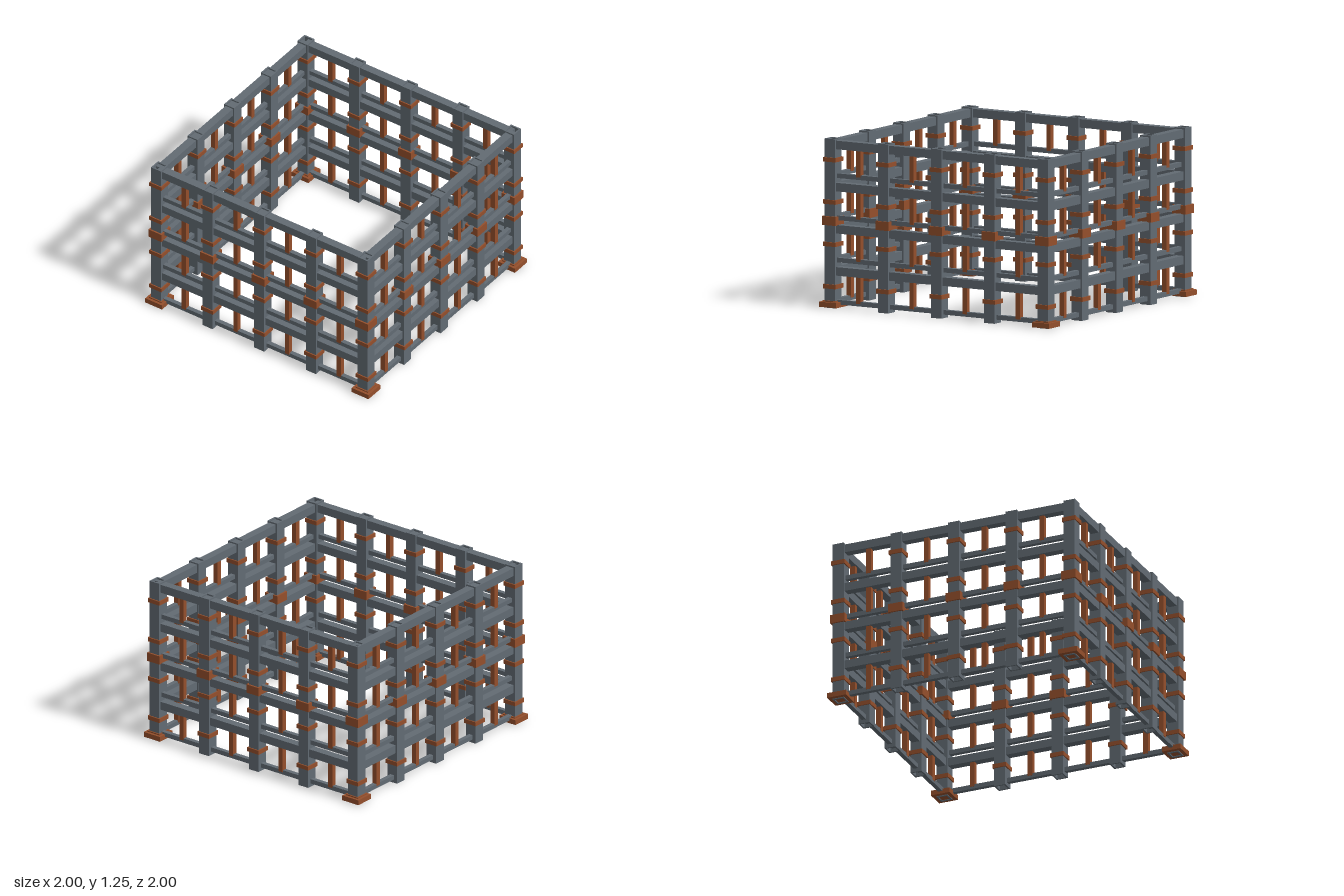
import * as THREE from 'three';

export function createModel() {
  const model = new THREE.Group();
  const steel = new THREE.MeshStandardMaterial({ color: 0x626b73 });
  steel.name = 'slate steel';
  const rust = new THREE.MeshStandardMaterial({ color: 0x944f2c });
  rust.name = 'rust orange';

  const R = 0.925;        // centre line of each wall
  const BAY = R / 2;      // post spacing
  const LEVEL = 0.3115;   // height of one tier

  function add(parent, name, geometry, material, x, y, z) {
    const mesh = new THREE.Mesh(geometry, material);
    mesh.name = name;
    mesh.position.set(x, y, z);
    parent.add(mesh);
    return mesh;
  }

  // Square tube standing on y = 0
  function squareTube(outer, inner, height) {
    const o = outer / 2, i = inner / 2;
    const shape = new THREE.Shape();
    shape.moveTo(-o, -o).lineTo(o, -o).lineTo(o, o).lineTo(-o, o).closePath();
    const hole = new THREE.Path();
    hole.moveTo(-i, -i).lineTo(-i, i).lineTo(i, i).lineTo(i, -i).closePath();
    shape.holes.push(hole);
    const geometry = new THREE.ExtrudeGeometry(shape, { depth: height, bevelEnabled: false });
    geometry.rotateX(-Math.PI / 2);
    return geometry;
  }

  const postGeo = squareTube(0.09, 0.066, 1.25);
  const collarGeo = squareTube(0.108, 0.088, 0.032);
  const jointGeo = squareTube(0.116, 0.088, 0.066);
  const footGeo = new THREE.BoxGeometry(0.15, 0.038, 0.15);
  const plinthGeo = new THREE.BoxGeometry(0.11, 0.02, 0.11);
  const thickRailGeo = new THREE.BoxGeometry(2 * R, 0.063, 0.064);
  const thinRailGeo = new THREE.BoxGeometry(2 * R, 0.034, 0.034);
  const barGeo = new THREE.BoxGeometry(0.038, 0.22, 0.038);

  // One wall: a corner post, three middle posts, rails and upright bars
  for (let side = 0; side < 4; side++) {
    const wall = new THREE.Group();
    wall.name = ['frontWall', 'leftWall', 'backWall', 'rightWall'][side];
    wall.rotation.y = side * Math.PI / 2;
    model.add(wall);

    for (let p = 0; p < 4; p++) {
      const x = -R + p * BAY;
      add(wall, p ? 'middlePost' : 'cornerPost', postGeo, steel, x, 0, R);
      for (let k = 0; k < 4; k++) {
        add(wall, 'collar', collarGeo, rust, x, 0.143 + k * 0.3125, R);
      }
      add(wall, 'jointCollar', jointGeo, rust, x, 0.612, R);
    }

    // Corner foot
    add(wall, 'foot', footGeo, rust, -R, 0.026, R);
    add(wall, 'footPlinth', plinthGeo, rust, -R, 0.044, R);

    // Rails and bars for each tier
    for (let k = 0; k < 4; k++) {
      const y = k * LEVEL;
      add(wall, 'thickRail', thickRailGeo, steel, 0, 0.273 + y, R);
      add(wall, 'thinRail', thinRailGeo, steel, 0, 0.044 + y, R);
      for (let b = 0; b < 4; b++) {
        add(wall, 'uprightBar', barGeo, rust, (b - 1.5) * BAY, 0.155 + y, R);
      }
    }
  }
  return model;
}
